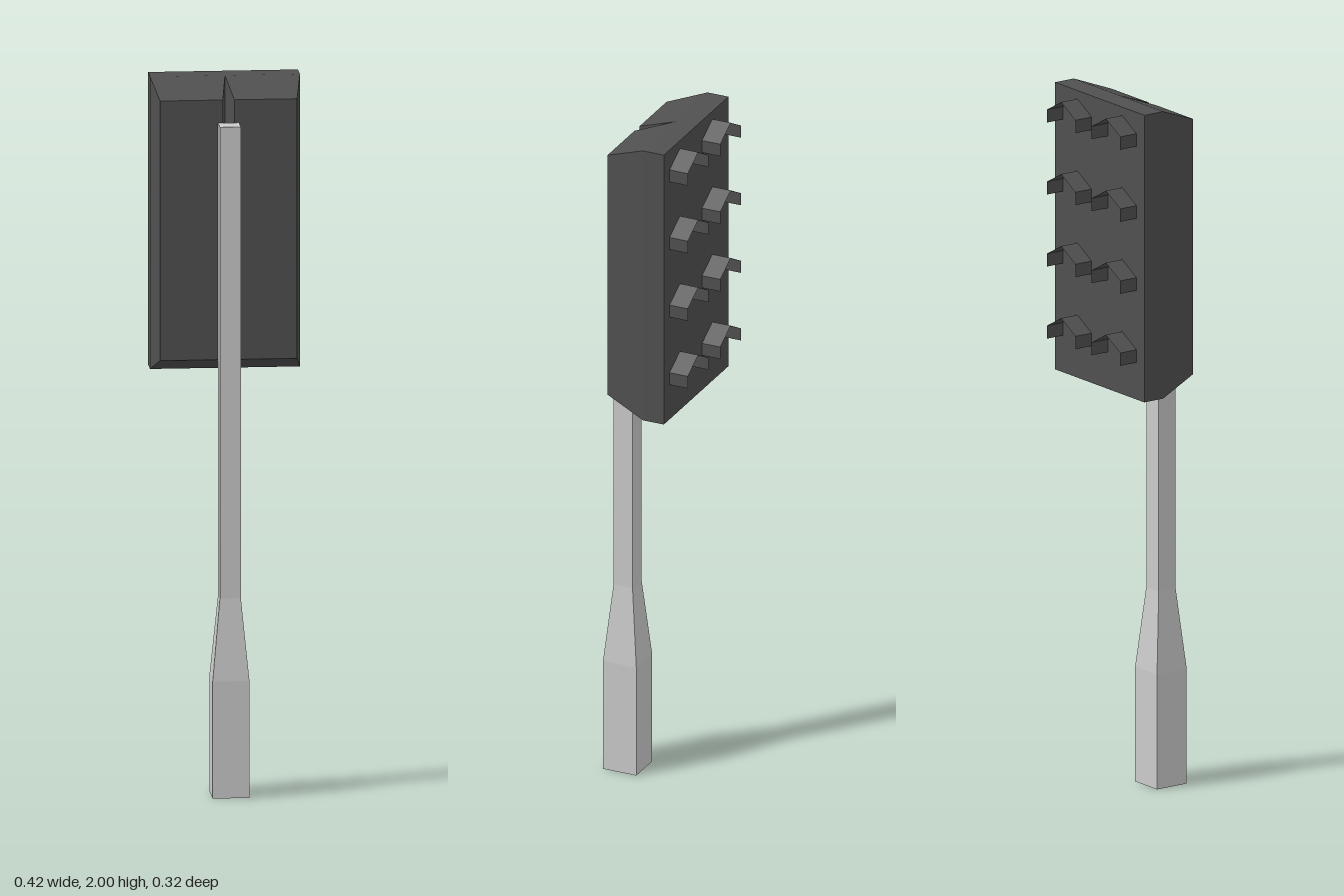
import * as THREE from 'three';

const metal = new THREE.MeshStandardMaterial({ color: 0xcccccc, flatShading: true, side: THREE.DoubleSide });
const dark = new THREE.MeshStandardMaterial({ color: 0x505050, flatShading: true, side: THREE.DoubleSide });

// Rectangular cross-sections [x0, x1, y0, y1, z] joined along +z, with optional end caps
function loft(sections, capStart, capEnd) {
  const rings = sections.map(([x0, x1, y0, y1, z]) => [[x0, y0, z], [x1, y0, z], [x1, y1, z], [x0, y1, z]]);
  const pos = [];
  const quad = (a, b, c, d) => pos.push(...a, ...b, ...c, ...a, ...c, ...d);
  for (let k = 0; k < rings.length - 1; k++) {
    for (let i = 0; i < 4; i++) {
      const j = (i + 1) % 4;
      quad(rings[k][i], rings[k][j], rings[k + 1][j], rings[k + 1][i]);
    }
  }
  const [a, b, c, d] = rings[0];
  if (capStart) quad(d, c, b, a);
  if (capEnd) quad(...rings[rings.length - 1]);
  const geo = new THREE.BufferGeometry();
  geo.setAttribute('position', new THREE.Float32BufferAttribute(pos, 3));
  geo.computeVertexNormals();
  return geo;
}

// Thin open hood: two walls and a peaked roof, swept from z = 0 back to -depth
function hoodGeometry(halfWidth, height, depth) {
  const profile = [[-halfWidth, 0], [-halfWidth, height / 2], [0, height], [halfWidth, height / 2], [halfWidth, 0]];
  const pos = [];
  for (let i = 0; i < profile.length - 1; i++) {
    const [ax, ay] = profile[i], [bx, by] = profile[i + 1];
    pos.push(ax, ay, 0, bx, by, 0, bx, by, -depth, ax, ay, 0, bx, by, -depth, ax, ay, -depth);
  }
  const geo = new THREE.BufferGeometry();
  geo.setAttribute('position', new THREE.Float32BufferAttribute(pos, 3));
  geo.computeVertexNormals();
  return geo;
}

export function createModel() {
  const model = new THREE.Group();
  const add = (name, geo, mat) => {
    const mesh = new THREE.Mesh(geo, mat);
    mesh.name = name;
    model.add(mesh);
    return mesh;
  };

  // Square pole with a flared foot, open underneath
  const pole = loft([[0.051, 0], [0.051, 0.33], [0.029, 0.56], [0.029, 1.89]]
    .map(([r, h]) => [-r, r, -r, r, h]), false, true);
  pole.rotateX(-Math.PI / 2).translate(0, 0, 0.106);
  add('pole', pole, metal);

  // Back plate of the signal head
  add('backPlate', loft([[-0.208, 0.208, 1.175, 2, -0.104], [-0.208, 0.208, 1.175, 2, -0.04]], true, false), dark);

  // Two tapered housings with a V groove between them
  add('leftHousing', loft([[0, 0.208, 1.175, 2, -0.04], [0.016, 0.19, 1.222, 1.955, 0.077]], false, true), dark);
  add('rightHousing', loft([[-0.208, 0, 1.175, 2, -0.04], [-0.19, -0.016, 1.222, 1.955, 0.077]], false, true), dark);

  // Two columns of four lamp hoods
  const hood = hoodGeometry(0.0665, 0.074, 0.056);
  for (const side of [-1, 1]) {
    for (let row = 0; row < 4; row++) {
      add('lampHood', hood, dark).position.set(side * 0.1045, 1.281 + row * 0.207, -0.104);
    }
  }
  return model;
}
